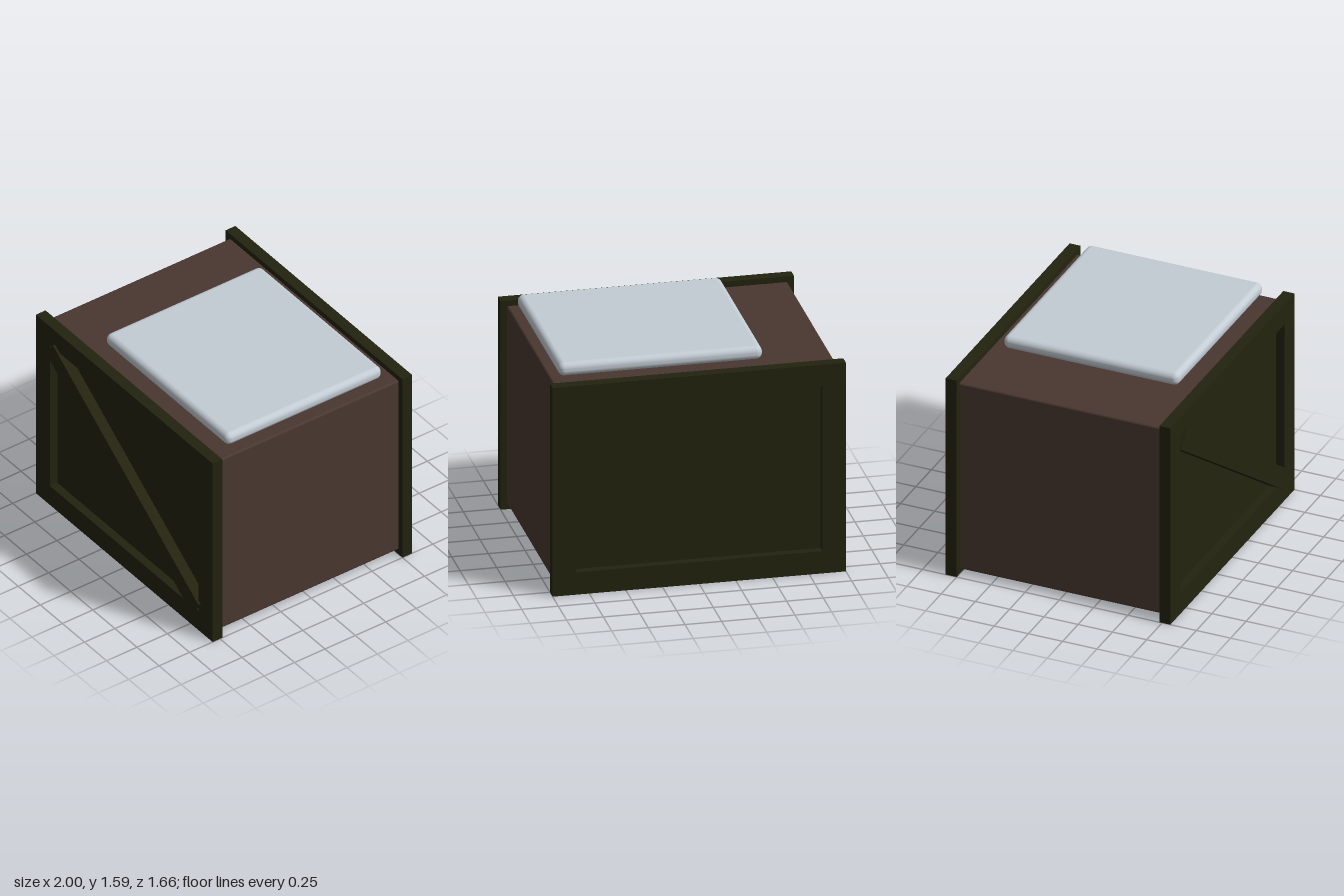
import * as THREE from 'three';
import { RoundedBoxGeometry } from 'three/addons/geometries/RoundedBoxGeometry.js';

const bodyBrown = new THREE.MeshStandardMaterial({ name: 'bodyBrown', color: 0x4a3730 });
const darkOlive = new THREE.MeshStandardMaterial({ name: 'darkOlive', color: 0x23230f });
const paleGrey = new THREE.MeshStandardMaterial({ name: 'paleGrey', color: 0xc3ccd4 });

function add(parent, name, geometry, material, x, y, z) {
  const mesh = new THREE.Mesh(geometry, material);
  mesh.name = name;
  mesh.position.set(x, y, z);
  parent.add(mesh);
  return mesh;
}

// Framed end panel facing +z, with a sunken field
function makePanel(name) {
  const panel = new THREE.Group();
  panel.name = name;
  const frame = new THREE.Shape([[-1, 0], [1, 0], [1, 1.5], [-1, 1.5]].map(p => new THREE.Vector2(...p)));
  frame.holes.push(new THREE.Path(
    [[-0.84, 0.16], [-0.84, 1.345], [0.84, 1.345], [0.84, 0.16]].map(p => new THREE.Vector2(...p))));
  add(panel, 'panelFrame', new THREE.ExtrudeGeometry(frame, { depth: 0.08, bevelEnabled: false }),
    darkOlive, 0, 0, 0);
  add(panel, 'panelField', new THREE.BoxGeometry(1.68, 1.185, 0.02), darkOlive, 0, 0.7525, 0.01);
  return panel;
}

export function createModel() {
  const model = new THREE.Group();
  model.name = 'crate';

  // Main box, with softly rounded edges
  add(model, 'body', new RoundedBoxGeometry(1.915, 1.42, 1.5, 3, 0.015), bodyBrown, 0, 0.75, -0.01);

  // Front and back panels
  const front = makePanel('frontPanel');
  front.position.z = 0.73;
  const back = makePanel('backPanel');
  back.position.z = -0.75;
  back.rotation.y = Math.PI;
  model.add(front, back);

  // Diagonal brace across the front
  const brace = add(model, 'frontBrace', new THREE.BoxGeometry(2.01, 0.14, 0.08), darkOlive, 0, 0.752, 0.787);
  brace.rotation.z = -Math.atan2(1.175, 1.68);

  // Rounded slab above the top
  add(model, 'topSlab', new RoundedBoxGeometry(1.39, 0.095, 1.28, 5, 0.042), paleGrey, 0.22, 1.543, -0.013);

  return model;
}
